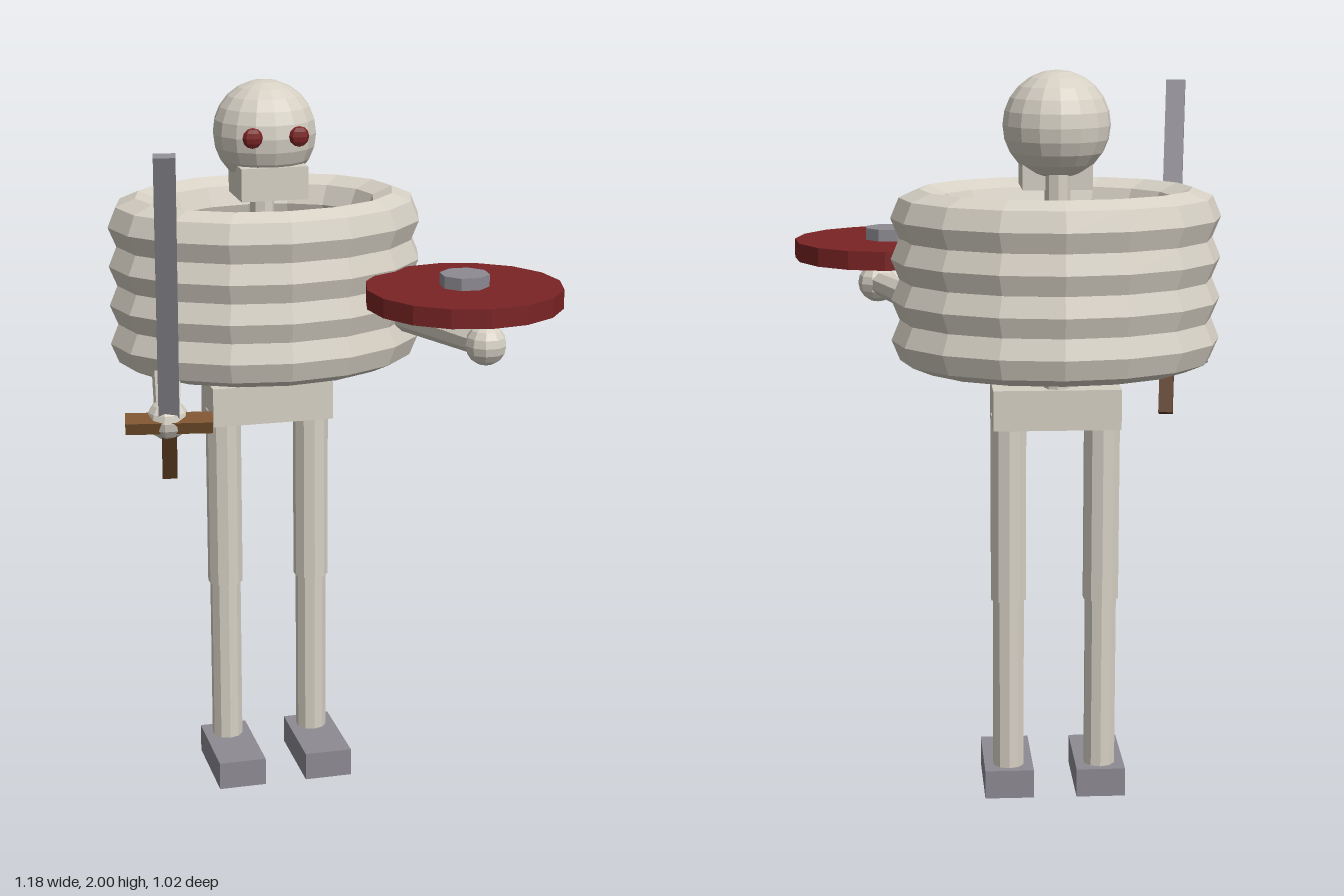
import * as THREE from 'three';

const mat = (name, color) => {
  const m = new THREE.MeshStandardMaterial({ color, flatShading: true });
  m.name = name;
  return m;
};

export function createModel() {
  const bone = mat('bone', 0xd6d0c4);
  const steel = mat('steel', 0x8d8b92);
  const red = mat('darkRed', 0x7a2424);
  const wood = mat('wood', 0x7d5430);
  const grip = mat('gripBrown', 0x5c3c22);

  const model = new THREE.Group();
  model.name = 'skeletonWarrior';
  const V = (x, y, z) => new THREE.Vector3(x, y, z);

  const add = (name, geo, material, x, y, z, parent = model) => {
    const mesh = new THREE.Mesh(geo, material);
    mesh.name = name;
    mesh.position.set(x, y, z);
    parent.add(mesh);
    return mesh;
  };
  const box = (w, h, d) => new THREE.BoxGeometry(w, h, d);
  const ball = (r, w = 8, h = 6) => new THREE.SphereGeometry(r, w, h);

  // Round bone from a to b
  const limb = (name, a, b, rA, rB, sides = 8) => {
    const c = a.clone().add(b).multiplyScalar(0.5);
    const m = add(name, new THREE.CylinderGeometry(rB, rA, a.distanceTo(b), sides), bone, c.x, c.y, c.z);
    m.quaternion.setFromUnitVectors(V(0, 1, 0), b.clone().sub(a).normalize());
    return m;
  };

  const cx = -0.12, cz = -0.184;

  // Head, jaw and eyes
  add('head', ball(0.143, 16, 12), bone, cx, 1.858, cz);
  add('jaw', box(0.185, 0.09, 0.165), bone, cx, 1.735, -0.143);
  for (const s of [-1, 1]) {
    const eye = add(s > 0 ? 'leftEye' : 'rightEye', ball(0.028), red, cx + s * 0.064, 1.865, -0.046);
    eye.scale.z = 0.55;
  }

  // Spine and pelvis
  limb('spine', V(cx, 1.1, -0.22), V(cx, 1.75, -0.22), 0.034, 0.034);
  add('pelvis', box(0.344, 0.11, 0.165), bone, cx, 1.105, -0.18);

  // Rib cage: four stacked oval rings
  for (let i = 0; i < 4; i++) {
    const ring = new THREE.TorusGeometry(0.363, 0.077, 8, 16).rotateX(Math.PI / 2).scale(1, 1, 0.743);
    add('rib' + (i + 1), ring, bone, cx, 1.287 + i * 0.109, cz);
  }

  // Legs and feet
  for (const s of [-1, 1]) {
    const side = s > 0 ? 'left' : 'right', x = cx + s * 0.127;
    limb(side + 'Thigh', V(x, 0.56, -0.18), V(x, 1.08, -0.18), 0.05, 0.05, 10);
    limb(side + 'Shin', V(x, 0.06, -0.18), V(x, 0.57, -0.18), 0.044, 0.044, 10);
    add(side + 'Foot', box(0.135, 0.08, 0.272), steel, x, 0.04, -0.108);
  }

  // Arms: shoulder, elbow, hand
  const arms = {
    right: [V(-0.4, 1.6, -0.18), V(-0.415, 1.265, -0.14), V(-0.472, 1.17, 0.177)],
    left: [V(0.16, 1.6, -0.18), V(0.235, 1.36, 0.0), V(0.355, 1.36, 0.337)],
  };
  for (const [side, [shoulder, elbow, hand]] of Object.entries(arms)) {
    limb(side + 'UpperArm', shoulder, elbow, 0.042, 0.042);
    limb(side + 'Forearm', elbow, hand, 0.042, 0.034);
    add(side + 'Hand', ball(0.056, 10, 8), bone, hand.x, hand.y, hand.z);
  }

  // Sword, leaning forward from the right hand
  const sword = new THREE.Group();
  sword.name = 'sword';
  sword.position.set(-0.472, 1.165, 0.2);
  sword.rotation.set(0.34, -0.175, 0, 'YXZ');
  model.add(sword);
  add('blade', box(0.055, 0.8, 0.024), steel, 0, 0.405, 0, sword);
  add('crossguard', box(0.23, 0.035, 0.05), wood, 0, 0, 0, sword);
  add('grip', box(0.04, 0.17, 0.04), grip, 0, -0.085, 0, sword);

  // Flat round shield with a steel boss
  const shield = new THREE.Group();
  shield.name = 'shield';
  shield.position.set(0.323, 1.474, 0.244);
  shield.rotation.y = 0.35;
  model.add(shield);
  add('shieldDisc', new THREE.CylinderGeometry(0.265, 0.265, 0.052, 16), red, 0, 0, 0, shield);
  add('shieldBoss', new THREE.CylinderGeometry(0.067, 0.067, 0.06, 8), steel, 0, 0.029, 0, shield);

  return model;
}
